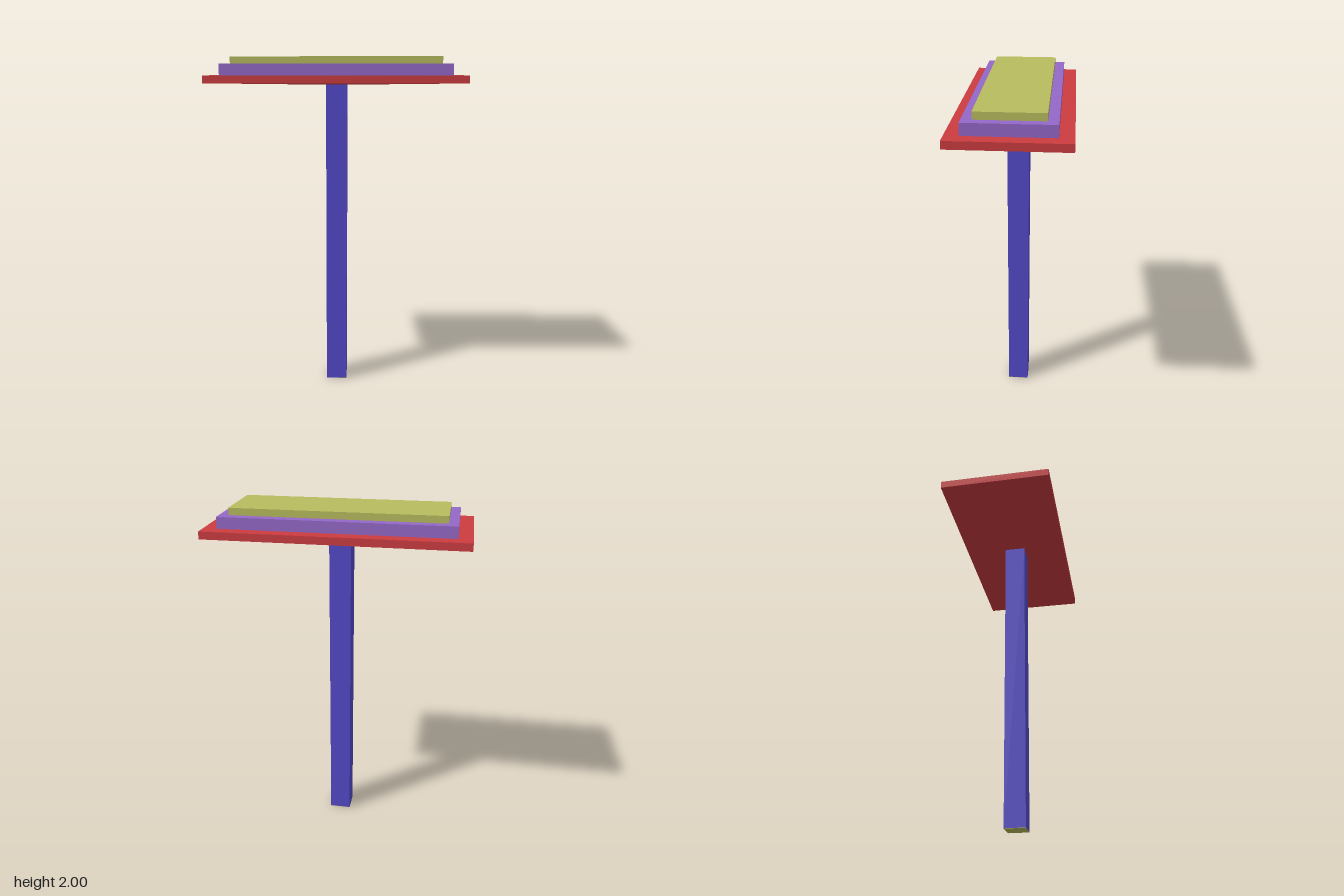
import * as THREE from 'three';

const RED = 0xcc3c40, PURPLE = 0x9468c8, OLIVE = 0xb8bc5e, BLUE = 0x554acb;

// Box spanning y0..y1, centred on the vertical axis
function slab(name, width, depth, y0, y1, color) {
  const geometry = new THREE.BoxGeometry(width, y1 - y0, depth);
  const mesh = new THREE.Mesh(geometry, new THREE.MeshStandardMaterial({ color }));
  mesh.position.y = (y0 + y1) / 2;
  mesh.name = name;
  return mesh;
}

export function createModel() {
  const model = new THREE.Group();
  model.name = 'steppedTable';
  const post = 0.125;

  // Square post with a thin foot plate
  model.add(slab('footPlate', post, post, 0, 0.002, OLIVE));
  model.add(slab('post', post, post, 0.002, 1.845, BLUE));

  // Underside of the top, tapering very slightly down to the post
  const underside = slab('topUnderside', 1.47, 0.636, 1.841, 1.852, RED);
  const position = underside.geometry.attributes.position;
  for (let i = 0; i < position.count; i++) {
    if (position.getY(i) > 0) continue;
    position.setX(i, Math.sign(position.getX(i)) * post / 2);
    position.setZ(i, Math.sign(position.getZ(i)) * post / 2);
  }
  underside.geometry.computeVertexNormals();
  model.add(underside);

  // Three stepped layers
  model.add(slab('lowerLayer', 1.47, 0.636, 1.852, 1.895, RED));
  model.add(slab('middleLayer', 1.312, 0.48, 1.895, 1.96, PURPLE));
  model.add(slab('upperLayer', 1.204, 0.368, 1.96, 2, OLIVE));

  return model;
}
